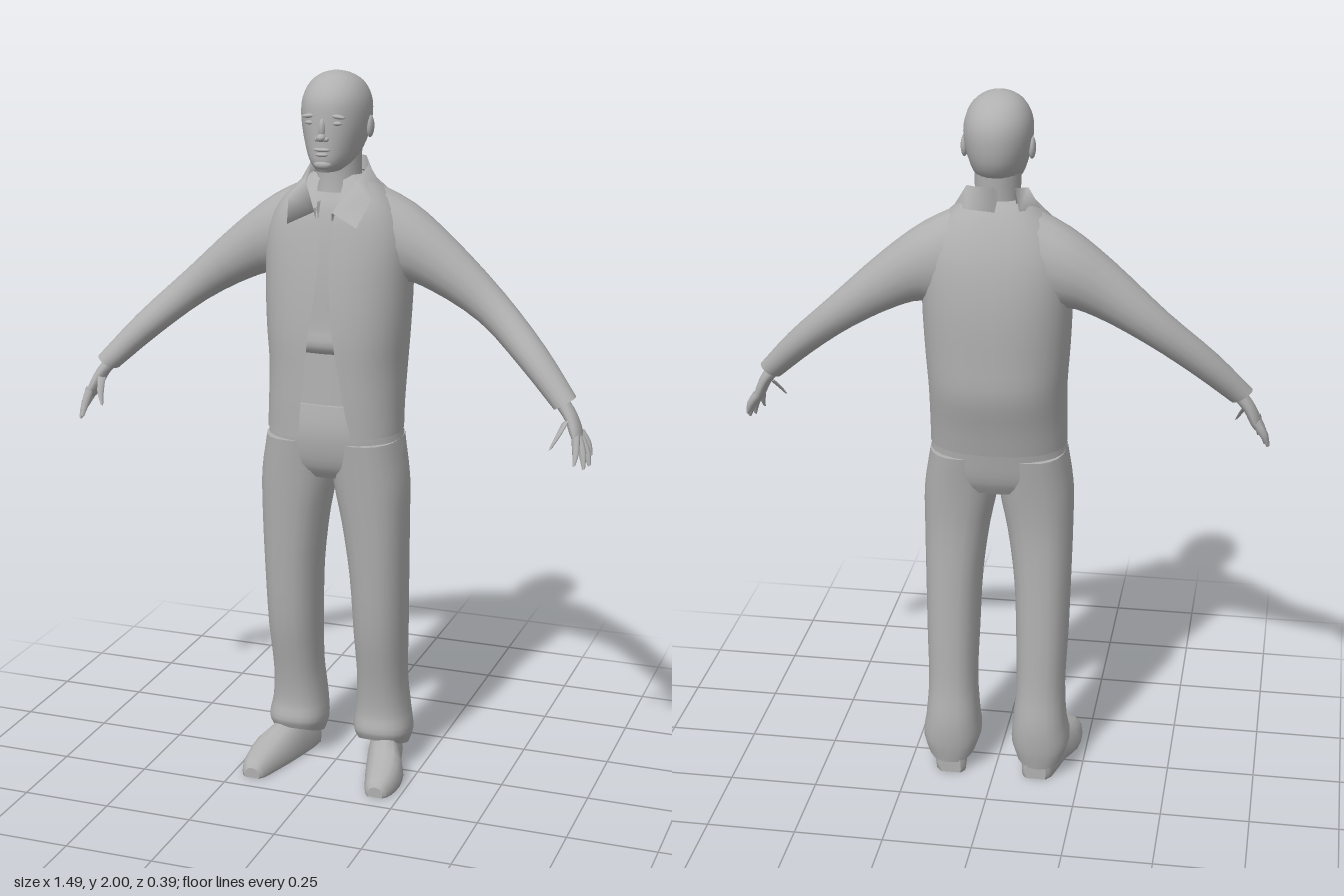
import * as THREE from 'three';

const grey = new THREE.MeshStandardMaterial({ color: 0xb0b0b0, side: THREE.DoubleSide });
grey.name = 'plain grey';
const V = (x, y, z) => new THREE.Vector3(x, y, z);
const TAU = Math.PI * 2;

// Rounded power curve: 1 is an ellipse, smaller is boxier
const pw = (v, e) => Math.sign(v) * Math.abs(v) ** e;

// Horizontal ring; a..b is the arc swept from the front, tilt lifts the front
function ring(cx, y, w, zf, zb, { e = 0.85, n = 24, a = 0, b = TAU, open = false, tilt = 0 } = {}) {
  const pts = [];
  for (let i = 0; i < (open ? n + 1 : n); i++) {
    const t = a + (b - a) * i / n;
    pts.push(V(cx + w * pw(Math.sin(t), e), y + tilt * (1 + Math.cos(t)) / 2,
      (zf + zb) / 2 + (zf - zb) / 2 * pw(Math.cos(t), e)));
  }
  return pts;
}

// Spline extra rings between the given ones
function refine(rings, steps) {
  const curves = rings[0].map((_, k) => new THREE.CatmullRomCurve3(rings.map(r => r[k])));
  const count = (rings.length - 1) * steps;
  return Array.from({ length: count + 1 }, (_, j) => curves.map(c => c.getPoint(j / count)));
}

// Skin a stack of rings, with flat end caps when closed
function loft(name, rings, { steps = 3, open = false, side = 1 } = {}) {
  let rows = steps > 1 ? refine(rings, steps) : rings;
  if (side < 0) rows = rows.map(r => r.map(p => V(-p.x, p.y, p.z))).reverse();
  const n = rows[0].length, pos = [], idx = [];
  rows.forEach(r => r.forEach(p => pos.push(p.x, p.y, p.z)));
  for (let i = 0; i < rows.length - 1; i++) {
    for (let k = 0; k < (open ? n - 1 : n); k++) {
      const k2 = (k + 1) % n, a = i * n + k, b = i * n + k2;
      idx.push(a, b, b + n, a, b + n, a + n);
    }
  }
  if (!open) [[rows[0], true], [rows[rows.length - 1], false]].forEach(([r, flip]) => {
    const base = pos.length / 3;
    const c = r.reduce((s, p) => s.add(p), V(0, 0, 0)).divideScalar(n);
    [...r, c].forEach(p => pos.push(p.x, p.y, p.z));
    for (let k = 0; k < n; k++) {
      const k2 = (k + 1) % n;
      idx.push(base + n, base + (flip ? k2 : k), base + (flip ? k : k2));
    }
  });
  const g = new THREE.BufferGeometry();
  g.setAttribute('position', new THREE.Float32BufferAttribute(pos, 3));
  g.setIndex(idx);
  g.computeVertexNormals();
  const m = new THREE.Mesh(g, grey);
  m.name = name;
  return m;
}

function blob(name, x, y, z, rx, ry, rz, roll = 0) {
  const m = new THREE.Mesh(new THREE.SphereGeometry(1, 14, 10), grey);
  m.name = name;
  m.position.set(x, y, z);
  m.scale.set(rx, ry, rz);
  m.rotation.z = roll;
  return m;
}

// Limb ring from its upper and lower points and its depth range
function limbRing([tx, ty, bx, by, zb, zf], n = 16) {
  return Array.from({ length: n }, (_, i) => {
    const t = TAU * i / n, c = Math.cos(t);
    return V((tx + bx) / 2 + (tx - bx) / 2 * c, (ty + by) / 2 + (ty - by) / 2 * c,
      (zf + zb) / 2 + (zf - zb) / 2 * Math.sin(t));
  });
}

function head() {
  const g = new THREE.Group();
  g.name = 'head';
  g.add(loft('skull', [
    [1.742, 0.03, 0.105, 0.0], [1.765, 0.055, 0.117, -0.065], [1.81, 0.076, 0.117, -0.115],
    [1.88, 0.091, 0.113, -0.13], [1.93, 0.088, 0.106, -0.122], [1.97, 0.068, 0.077, -0.09],
    [1.992, 0.037, 0.04, -0.045], [2.0, 0.005, 0.005, -0.006],
  ].map(([y, w, f, b]) => ring(0, y, w, f, b, { e: 0.95 }))));
  g.add(loft('neck', [
    [1.58, 0.075, 0.07, -0.1], [1.7, 0.062, 0.048, -0.09], [1.8, 0.062, 0.05, -0.095],
  ].map(([y, w, f, b]) => ring(0, y, w, f, b, { e: 1 }))));
  g.add(blob('noseBridge', 0, 1.857, 0.109, 0.01, 0.028, 0.013));
  g.add(blob('noseTip', 0, 1.835, 0.117, 0.013, 0.011, 0.017));
  g.add(blob('upperLip', 0, 1.803, 0.113, 0.024, 0.006, 0.011));
  g.add(blob('lowerLip', 0, 1.79, 0.113, 0.019, 0.006, 0.01));
  g.add(blob('chin', 0, 1.763, 0.104, 0.026, 0.014, 0.017));
  for (const s of [-1, 1]) {
    g.add(blob('nostril', s * 0.012, 1.831, 0.114, 0.008, 0.007, 0.01));
    g.add(blob('eyelid', s * 0.036, 1.872, 0.1, 0.016, 0.006, 0.009));
    g.add(blob('brow', s * 0.038, 1.89, 0.1, 0.023, 0.006, 0.009, -s * 0.12));
    g.add(blob('ear', s * 0.09, 1.853, -0.018, 0.01, 0.03, 0.018));
  }
  return g;
}

function arm(s) {
  const g = new THREE.Group();
  g.name = s > 0 ? 'leftArm' : 'rightArm';
  g.add(loft('sleeve', [
    [0.07, 1.712, 0.1, 1.4, -0.14, 0.06], [0.196, 1.65, 0.195, 1.43, -0.14, 0.04],
    [0.31, 1.562, 0.265, 1.41, -0.12, 0.025], [0.462, 1.42, 0.4, 1.338, -0.09, 0.015],
    [0.595, 1.29, 0.53, 1.237, -0.035, 0.065], [0.692, 1.178, 0.635, 1.143, 0.025, 0.1],
  ].map(r => limbRing(r)), { side: s }));
  g.add(loft('palm', [
    [0.67, 1.175, 0.64, 1.15, 0.04, 0.085], [0.697, 1.135, 0.668, 1.118, 0.04, 0.1],
    [0.716, 1.09, 0.69, 1.074, 0.043, 0.118], [0.718, 1.07, 0.7, 1.06, 0.05, 0.114],
  ].map(r => limbRing(r, 12)), { side: s }));
  // Fingers and thumb: start, knuckle, tip
  const digits = [
    ['thumb', V(0.675, 1.12, 0.09), V(0.662, 1.085, 0.128), V(0.648, 1.055, 0.15)],
    ['finger', V(0.705, 1.085, 0.108), V(0.712, 1.045, 0.127), V(0.712, 1.015, 0.145)],
    ['finger', V(0.707, 1.08, 0.09), V(0.725, 1.038, 0.104), V(0.732, 1.0, 0.118)],
    ['finger', V(0.707, 1.08, 0.072), V(0.73, 1.038, 0.08), V(0.741, 1.003, 0.09)],
    ['finger', V(0.705, 1.085, 0.055), V(0.727, 1.052, 0.055), V(0.738, 1.022, 0.06)],
  ];
  for (const [name, ...pts] of digits) {
    const rings = pts.map((p, i) => {
      const r = [0.011, 0.0095, 0.004][i];
      return limbRing([p.x + r, p.y + r * 0.6, p.x - r, p.y - r * 0.6, p.z - r, p.z + r], 8);
    });
    g.add(loft(name, rings, { steps: 2, side: s }));
  }
  return g;
}

function leg(s) {
  const g = new THREE.Group();
  g.name = s > 0 ? 'leftLeg' : 'rightLeg';
  // y, inner x, outer x, front z, back z, lift of the front
  g.add(loft('trouserLeg', [
    [0.035, 0.06, 0.2, 0.035, -0.125, 0.06], [0.09, 0.046, 0.214, 0.045, -0.135, 0.03],
    [0.17, 0.05, 0.205, 0.035, -0.138, 0], [0.27, 0.058, 0.198, 0.045, -0.125, 0],
    [0.42, 0.055, 0.203, 0.076, -0.118, 0], [0.6, 0.047, 0.207, 0.095, -0.11, 0],
    [0.76, 0.026, 0.21, 0.109, -0.106, 0], [0.88, 0.003, 0.209, 0.12, -0.115, 0],
    [1.0, 0, 0.19, 0.132, -0.132, 0],
  ].map(([y, xi, xo, f, b, tilt]) => ring((xi + xo) / 2, y, (xo - xi) / 2, f, b, { tilt, n: 20 })), { side: s }));
  // Shoe with a flat sole, from heel to toe: z, centre x, half width, height
  g.add(loft('shoe', [
    [-0.12, 0.125, 0.03, 0.07], [-0.1, 0.127, 0.045, 0.1], [0, 0.148, 0.05, 0.11],
    [0.07, 0.172, 0.057, 0.088], [0.14, 0.184, 0.048, 0.062], [0.185, 0.186, 0.034, 0.045],
    [0.198, 0.186, 0.022, 0.03],
  ].map(([z, cx, w, h]) => Array.from({ length: 16 }, (_, i) => {
    const t = TAU * i / 16;
    return V(cx + w * pw(Math.cos(t), 0.8), Math.max(0, h * (0.2 + 0.8 * Math.sin(t))), z);
  })), { steps: 2, side: s }));
  return g;
}

// Turned-down collar: inner base, fold and outer edge, ending in two points
function collar() {
  const rows = [
    [[0, 1.70, -0.1], [0.06, 1.70, -0.085], [0.085, 1.68, -0.03], [0.07, 1.66, 0.045], [0.022, 1.61, 0.1]],
    [[0, 1.765, -0.105], [0.055, 1.762, -0.09], [0.083, 1.748, -0.03], [0.073, 1.712, 0.045], [0.025, 1.635, 0.105]],
    [[0, 1.705, -0.128], [0.07, 1.705, -0.112], [0.115, 1.695, -0.035], [0.117, 1.665, 0.055], [0.098, 1.6, 0.118]],
  ].map(half => {
    const left = half.map(p => V(...p));
    const right = left.slice(1).reverse().map(p => V(-p.x, p.y, p.z));
    return [...left.reverse(), ...right];
  });
  return loft('collar', rows, { steps: 1, open: true });
}

export function createModel() {
  const model = new THREE.Group();
  model.name = 'standingMan';

  // Open jacket: y, half width, front z, back z, right and left front edges
  const jacket = [
    [1.02, 0.19, 0.145, -0.142, 0.06, 0.09], [1.1, 0.189, 0.147, -0.162, 0.053, 0.073],
    [1.2, 0.19, 0.147, -0.19, 0.042, 0.056], [1.3, 0.197, 0.146, -0.193, 0.03, 0.04],
    [1.44, 0.203, 0.133, -0.192, 0.012, 0.026], [1.56, 0.2, 0.113, -0.175, 0.008, 0.024],
    [1.64, 0.165, 0.092, -0.147, 0.022, 0.03], [1.7, 0.108, 0.05, -0.115, 0.035, 0.035],
    [1.725, 0.07, 0.03, -0.095, 0.03, 0.03],
  ];
  model.add(loft('jacket', jacket.map(([y, w, f, b, r, l]) => {
    const edge = x => Math.asin((x / w) ** (1 / 0.85));
    return ring(0, y, w, f, b, { n: 32, open: true, a: edge(l), b: TAU - edge(r) });
  }), { open: true }));

  // Shirt with a loose fold above the waist
  model.add(loft('shirt', [
    [1.24, 0.165, 0.1, -0.15], [1.27, 0.172, 0.122, -0.16], [1.32, 0.175, 0.116, -0.165],
    [1.44, 0.178, 0.11, -0.165], [1.56, 0.17, 0.095, -0.15], [1.64, 0.13, 0.076, -0.12],
    [1.68, 0.075, 0.055, -0.09],
  ].map(([y, w, f, b]) => ring(0, y, w, f, b))));
  model.add(loft('shirtHem', [
    [1.06, 0.165, 0.115, -0.13], [1.26, 0.165, 0.105, -0.15],
  ].map(([y, w, f, b]) => ring(0, y, w, f, b)), { steps: 1 }));
  model.add(loft('trouserHips', [
    [0.89, 0.175, 0.09, -0.1], [0.93, 0.2, 0.118, -0.122], [1.0, 0.19, 0.134, -0.137],
    [1.05, 0.184, 0.134, -0.145], [1.105, 0.175, 0.125, -0.145],
  ].map(([y, w, f, b]) => ring(0, y, w, f, b))));

  model.add(collar(), head());
  for (const s of [1, -1]) model.add(arm(s), leg(s));
  return model;
}
